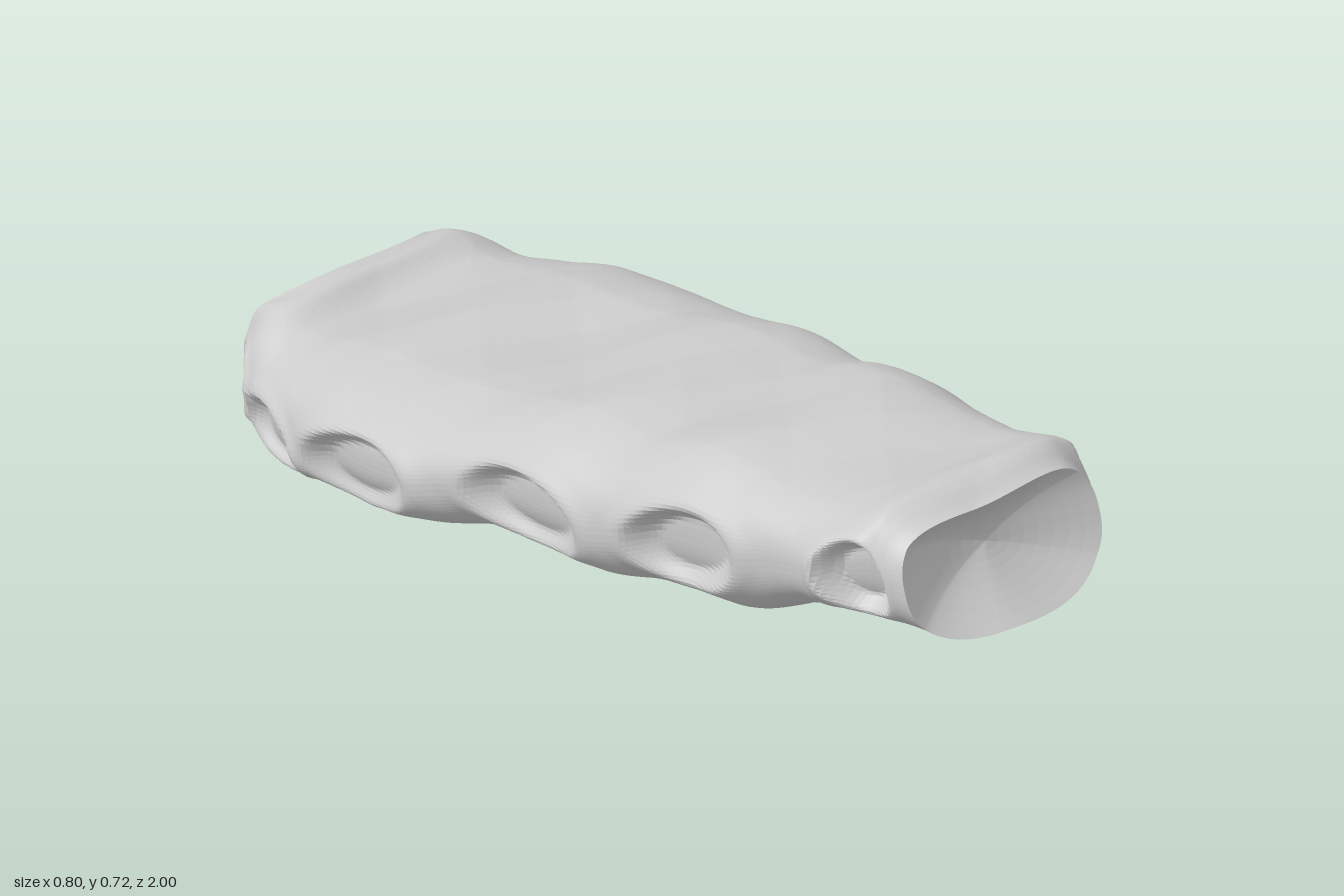
import * as THREE from 'three';

// Stations along the body: [z, top, bottom, half width]
const STATIONS = [
  [0.95, 0.715, 0.47, 0.228], [0.88, 0.73, 0.462, 0.245], [0.82, 0.728, 0.455, 0.27], [0.74, 0.69, 0.438, 0.295],
  [0.65, 0.665, 0.40, 0.285], [0.5, 0.65, 0.305, 0.305], [0.38, 0.635, 0.285, 0.315],
  [0.27, 0.595, 0.262, 0.33], [0.15, 0.545, 0.215, 0.348], [0, 0.528, 0.195, 0.355],
  [-0.15, 0.475, 0.178, 0.36], [-0.3, 0.412, 0.115, 0.392], [-0.45, 0.375, 0.073, 0.395],
  [-0.6, 0.35, 0.05, 0.385], [-0.72, 0.305, 0.012, 0.362], [-0.82, 0.275, 0.0, 0.332],
  [-0.9, 0.295, 0.01, 0.288], [-0.97, 0.29, 0.028, 0.215],
];

// Oval sockets on each flank: [z, y, z radius, y radius, tilt, depth]
const SOCKETS = [
  [0.82, 0.585, 0.085, 0.075, 0, 0.045], [0.38, 0.445, 0.14, 0.085, 0.25, 0.036],
  [-0.03, 0.335, 0.155, 0.08, 0.1, 0.036], [-0.475, 0.205, 0.155, 0.08, 0.25, 0.036],
  [-0.77, 0.11, 0.11, 0.07, 0, 0.034], [-0.925, 0.12, 0.042, 0.065, 0, 0.025],
];

const RINGS = 180, SIDES = 128, CAP_RINGS = 8;
const { smoothstep } = THREE.MathUtils;

// Triangle wave, from -1 to 1
const wave = (t) => Math.abs(((t % 1) + 1) % 1 - 0.5) * 4 - 1;

// Smooth interpolation of the stations at a given z
function station(z) {
  let i = 0;
  while (i < STATIONS.length - 2 && z < STATIONS[i + 1][0]) i++;
  const at = (k) => STATIONS[Math.max(0, Math.min(STATIONS.length - 1, k))];
  const [a, b, c, d] = [at(i - 1), at(i), at(i + 1), at(i + 2)];
  const t = (b[0] - z) / (b[0] - c[0]);
  return [1, 2, 3].map((k) => {
    const m0 = (c[k] - a[k]) / 2, m1 = (d[k] - b[k]) / 2;
    const t2 = t * t, t3 = t2 * t;
    return (2 * t3 - 3 * t2 + 1) * b[k] + (t3 - 2 * t2 + t) * m0 + (3 * t2 - 2 * t3) * c[k] + (t3 - t2) * m1;
  });
}

// Point on the body wall: rounded-rectangle section, dented by the sockets
function wallPoint(z, angle) {
  const [top, bottom, width] = station(z);
  // The underside grows boxier and slightly arched towards the rear
  const under = Math.sin(angle) < 0;
  const rearward = smoothstep(-z, 0.4, 0.8);
  const exponent = under ? 0.78 - 0.13 * rearward : 0.78;
  const power = (v) => Math.sign(v) * Math.abs(v) ** exponent;
  const c = power(Math.cos(angle)), s = power(Math.sin(angle));
  let x = width * c;
  let y = (top + bottom) / 2 + s * (top - bottom) / 2;
  // Shallow hollow along the middle of the upper and lower faces
  y -= s * (under ? 0.015 * rearward : 0.012) * Math.max(0, 1 - (x / 0.2) ** 2);
  // Faceted unevenness
  y += 0.0035 * s * (wave(2.3 * x + 1.7 * z) + wave(1.9 * x - 2.9 * z + 0.3));
  for (const [cz, cy, rz, ry, tilt, depth] of SOCKETS) {
    const u = (z - cz) / rz, v = (y - cy - tilt * (z - cz)) / ry;
    const d = Math.hypot(u, v);
    const side = Math.sign(c) * Math.min(1, Math.abs(c) * 3);
    x -= side * depth * (1 - smoothstep(d, 0.58, 1.05));
    x += side * 0.008 * Math.exp(-(((d - 1.1) / 0.22) ** 2));
  }
  // Slanted front rim with a projecting lower lip; notched rear rim with horned corners
  const front = smoothstep(z, 0.78, 0.95);
  const rear = smoothstep(-z, 0.85, 0.97);
  const side = Math.min(1, Math.abs(x) / 0.2);
  const warp = front * (-0.045 * s - 0.03 * side * side + 0.005)
    + rear * (0.018 + 0.02 * s - 0.045 * side ** 4 * (1 + 0.6 * Math.min(0, s)));
  return new THREE.Vector3(x, y, z + warp);
}

function createBody() {
  const rings = [];
  const ringAt = (z) => Array.from({ length: SIDES }, (_, j) => wallPoint(z, (j / SIDES) * Math.PI * 2));
  // Concave end face: the rim shrinks towards a sunken centre
  const capRing = (rim, k, depth) => {
    const centre = rim.reduce((sum, p) => sum.add(p), new THREE.Vector3()).divideScalar(rim.length);
    return rim.map((p) => {
      const q = p.clone().lerp(centre, 1 - k);
      q.z += depth * (1 - k * k);
      return q;
    });
  };
  const z0 = STATIONS[0][0], z1 = STATIONS[STATIONS.length - 1][0];
  const frontRim = ringAt(z0), rearRim = ringAt(z1);
  for (let i = 0; i < CAP_RINGS; i++) rings.push(capRing(frontRim, i / CAP_RINGS, -0.06));
  for (let i = 0; i <= RINGS; i++) rings.push(ringAt(z0 + (z1 - z0) * i / RINGS));
  for (let i = CAP_RINGS - 1; i >= 0; i--) rings.push(capRing(rearRim, i / CAP_RINGS, 0.05));

  const positions = rings.flat().flatMap((p) => p.toArray());
  const index = [];
  for (let i = 0; i < rings.length - 1; i++) {
    for (let j = 0; j < SIDES; j++) {
      const a = i * SIDES + j, b = i * SIDES + (j + 1) % SIDES;
      const c = a + SIDES, d = b + SIDES;
      // The first and last rings are points, so they need one triangle per side
      if (i > 0) index.push(a, c, b);
      if (i === 0) index.push(a, c, d);
      else if (i < rings.length - 2) index.push(b, c, d);
    }
  }
  const geometry = new THREE.BufferGeometry();
  geometry.setAttribute('position', new THREE.Float32BufferAttribute(positions, 3));
  geometry.setIndex(index);
  geometry.computeVertexNormals();
  return geometry;
}

export function createModel() {
  const group = new THREE.Group();
  group.name = 'breastbone';
  const material = new THREE.MeshStandardMaterial({ color: 0xcccccc, flatShading: true });
  const body = new THREE.Mesh(createBody(), material);
  body.name = 'boneBody';
  group.add(body);
  return group;
}
